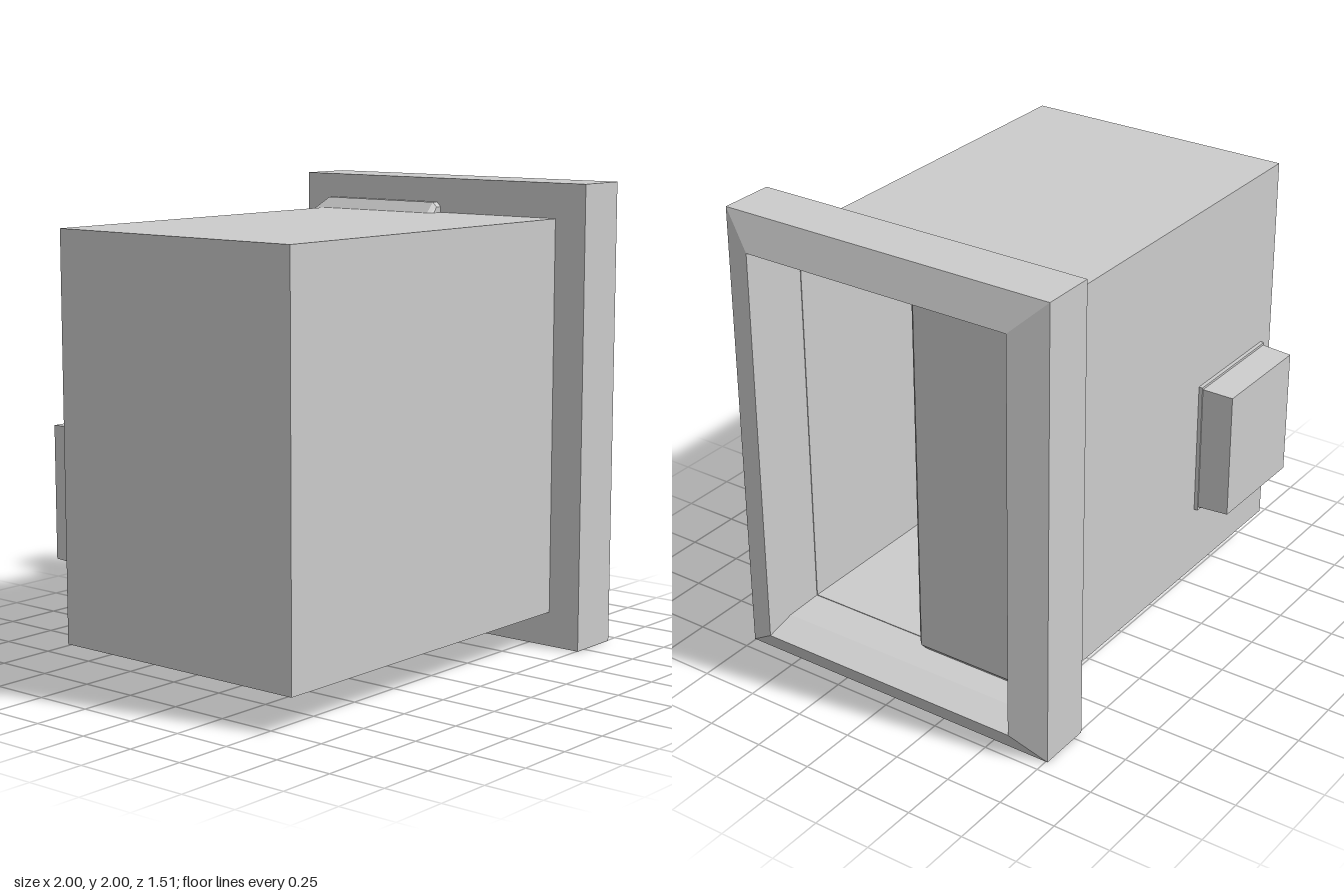
import * as THREE from 'three';
import { ConvexGeometry } from 'three/addons/geometries/ConvexGeometry.js';

// Joins rectangular sections [x, y0, y1, z0, z1] with flat faces, optionally capping both ends.
function loft(sections, capped) {
  const pos = [];
  const quad = (a, b, c, d) => pos.push(...a, ...b, ...c, ...a, ...c, ...d);
  const rings = sections.map(([x, y0, y1, z0, z1]) =>
    [[x, y0, z1], [x, y0, z0], [x, y1, z0], [x, y1, z1]]);
  for (let s = 0; s < rings.length - 1; s++) {
    const a = rings[s], b = rings[s + 1];
    for (let i = 0; i < 4; i++) {
      const j = (i + 1) % 4;
      quad(a[i], a[j], b[j], b[i]);
    }
  }
  if (capped) {
    quad(...[...rings[0]].reverse());
    quad(...rings[rings.length - 1]);
  }
  const g = new THREE.BufferGeometry();
  g.setAttribute('position', new THREE.Float32BufferAttribute(pos, 3));
  g.computeVertexNormals();
  return g;
}

export function createModel() {
  const model = new THREE.Group();
  const grey = new THREE.MeshStandardMaterial({ color: 0xcccccc });
  grey.name = 'light grey';
  const add = (name, geometry) => {
    const mesh = new THREE.Mesh(geometry, grey);
    mesh.name = name;
    model.add(mesh);
    return mesh;
  };

  // Hollow body, open towards +x
  add('body', loft([
    [-1, 0.15, 1.85, -0.605, 0.605],
    [0.7, 0.15, 1.85, -0.605, 0.605],
    [0.7, 0.153, 1.847, -0.6, 0.6],
    [-0.99, 0.153, 1.847, -0.6, 0.6],
  ], true));

  // Bevelled frame around the opening, with a sloping sill inside
  const outer = [0, 2, -0.758, 0.755];
  add('doorFrame', loft([
    [0.7, ...outer],
    [0.94, ...outer],
    [1, 0.105, 1.86, -0.61, 0.61],
    [0.87, 0.14, 1.857, -0.607, 0.607],
    [0.7, 0.15, 1.85, -0.603, 0.603],
    [0.7, ...outer],
  ], false));

  // Chamfered sliding door, covering half the opening and poking through the walls
  const pts = [];
  for (const side of [-1, 1]) {
    const p = (x, h, z) => pts.push(new THREE.Vector3(x, 1 + side * h, z));
    for (const x of [0.6, 0.78]) {
      p(x, 0.82, -0.68);
      p(x, 0.82, -0.02);
    }
    for (const x of [0.67, 0.71]) {
      p(x, 0.895, -0.61);
      p(x, 0.895, -0.02);
      p(x, 0.875, 0);
    }
    for (const x of [0.62, 0.76]) p(x, 0.81, 0);
  }
  add('slidingDoor', new ConvexGeometry(pts));

  // Tapered box on a thin mounting plate at the back
  const box = add('backBox', loft([
    [0.6, 0.45, 1.045, -0.92, -0.4],
    [0.622, 0.45, 1.045, -0.92, -0.4],
    [0.622, 0.465, 1.035, -0.915, -0.405],
    [0.76, 0.47, 1.03, -0.907, -0.413],
  ], true));
  box.rotation.y = Math.PI / 2;

  return model;
}
